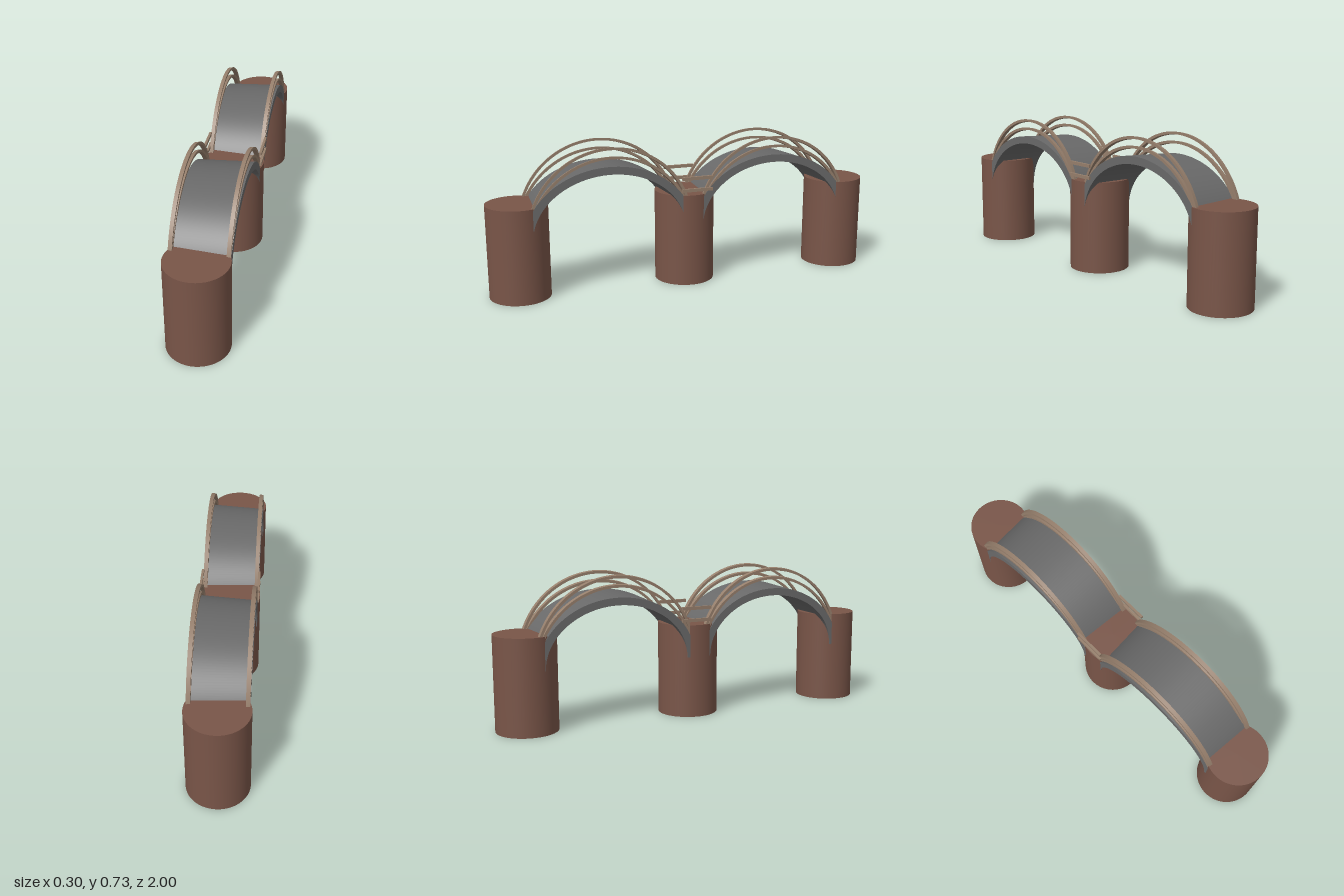
import * as THREE from 'three';
import { toCreasedNormals } from 'three/addons/utils/BufferGeometryUtils.js';

const brick = new THREE.MeshStandardMaterial({ color: 0x795548 });
const stone = new THREE.MeshStandardMaterial({ color: 0x696969 });
const wood = new THREE.MeshStandardMaterial({ color: 0x967f6c });

const PILLAR_RADIUS = 0.15;
const PILLAR_HEIGHT = 0.465;
const SPACING = 0.85;

function add(parent, name, geometry, material, x = 0, y = 0, z = 0) {
  const mesh = new THREE.Mesh(geometry, material);
  mesh.name = name;
  mesh.position.set(x, y, z);
  parent.add(mesh);
  return mesh;
}

// Half-elliptical band in the z-y plane, from x0 to x1, growing by `taper` per unit of x
function archGeometry({ outer, inner, x0, x1, taper }) {
  const shape = new THREE.Shape();
  shape.moveTo(outer[0], 0);
  shape.absellipse(0, 0, outer[0], outer[1], 0, Math.PI, false, 0);
  shape.lineTo(-inner[0], 0);
  shape.absellipse(0, 0, inner[0], inner[1], Math.PI, 0, true, 0);
  shape.closePath();
  const geometry = new THREE.ExtrudeGeometry(shape, {
    depth: x1 - x0, bevelEnabled: false, curveSegments: 48,
  });
  geometry.rotateY(Math.PI / 2).translate(x0, 0, 0);
  const p = geometry.attributes.position;
  for (let i = 0; i < p.count; i++) {
    const s = 1 + taper * (p.getX(i) - x1);
    p.setY(i, p.getY(i) * s);
    p.setZ(i, p.getZ(i) * s);
  }
  return toCreasedNormals(geometry, 0.6);
}

// One arched walkway with two curved handrails on each side
function createSpan() {
  const span = new THREE.Group();
  const deck = archGeometry({
    outer: [0.42, 0.334], inner: [0.38, 0.296], x0: -0.14, x1: 0.14, taper: 0.15,
  });
  add(span, 'archedDeck', deck, stone, 0, 0.304, 0);

  const rails = [
    { name: 'upperHandrail', radius: 0.413, y: 0.318 },
    { name: 'lowerHandrail', radius: 0.42, y: 0.267 },
  ];
  for (const [side, x0, x1] of [['left', 0.12, 0.139], ['right', -0.139, -0.12]]) {
    for (const { name, radius, y } of rails) {
      const inner = radius - 0.013;
      const rail = archGeometry({
        outer: [radius, radius], inner: [inner, inner], x0, x1, taper: 0.4,
      });
      add(span, `${side} ${name}`, rail, wood, 0, y, -0.005);
    }
  }
  return span;
}

export function createModel() {
  const bridge = new THREE.Group();
  bridge.name = 'archedFootbridge';

  // Three round pillars
  const pillar = new THREE.CylinderGeometry(PILLAR_RADIUS, PILLAR_RADIUS, PILLAR_HEIGHT, 64);
  for (const [name, z] of [['front', SPACING], ['middle', 0], ['back', -SPACING]]) {
    add(bridge, `${name}Pillar`, pillar, brick, 0, PILLAR_HEIGHT / 2, z);
  }

  // Two identical spans
  for (const [name, z] of [['front', 0.421], ['back', -0.431]]) {
    const span = createSpan();
    span.name = `${name}Span`;
    span.position.z = z;
    bridge.add(span);
  }

  // Short straight bars joining the handrails over the middle pillar
  const bar = new THREE.BoxGeometry(0.012, 0.016, 0.16);
  for (const [side, x] of [['left', 0.142], ['right', -0.142]]) {
    for (const [level, y] of [['upper', 0.55], ['lower', 0.49]]) {
      add(bridge, `${side} ${level}ConnectingBar`, bar, wood, x, y, -0.02);
    }
  }
  return bridge;
}
